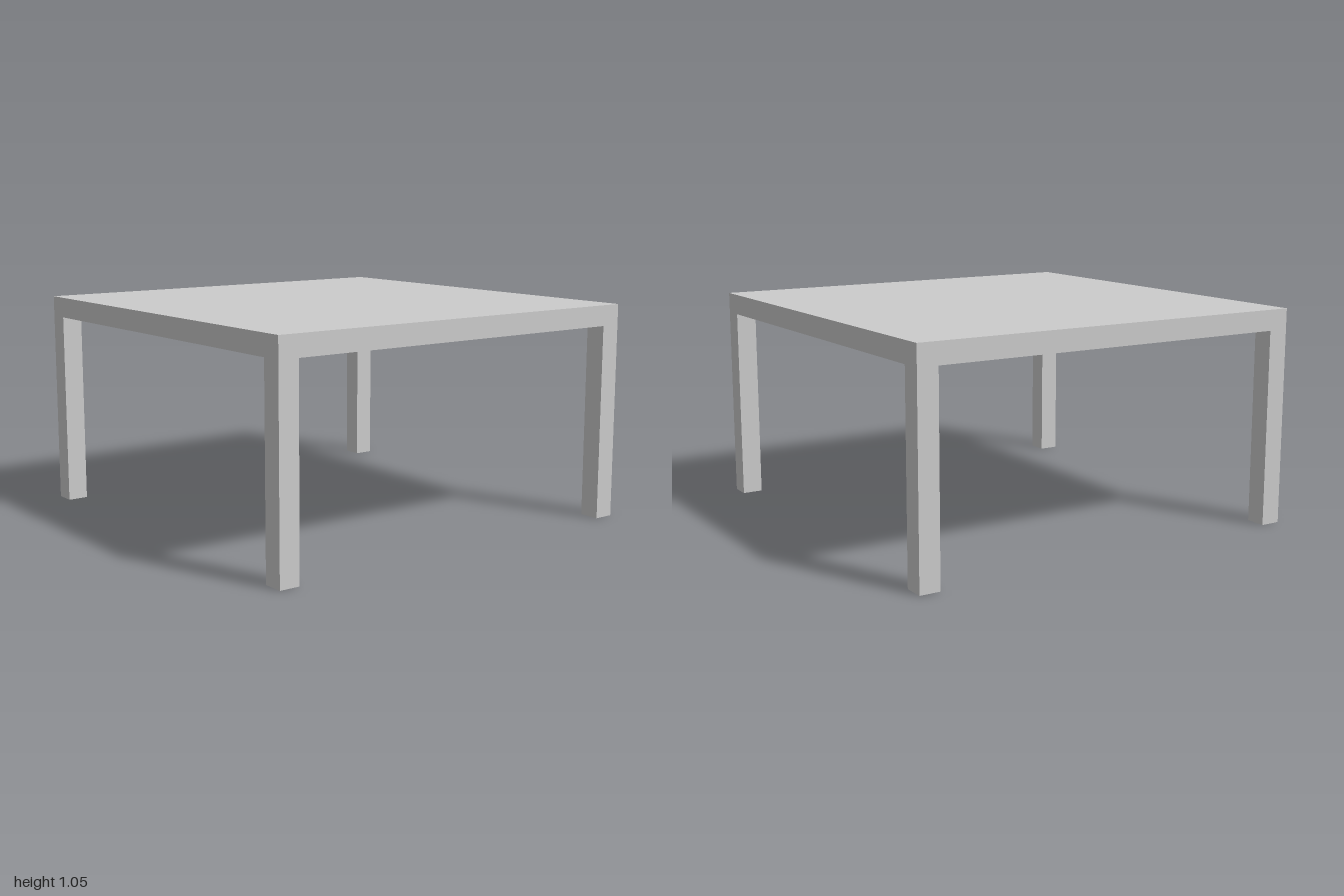
import * as THREE from 'three';

const WIDTH = 2, HEIGHT = 1.05, THICK = 0.1;

export function createModel() {
  const table = new THREE.Group();
  table.name = 'table';
  const material = new THREE.MeshStandardMaterial({ color: 0xcccccc, flatShading: true });

  // Square slab top
  const top = new THREE.Mesh(new THREE.BoxGeometry(WIDTH, THICK, WIDTH), material);
  top.name = 'tableTop';
  top.position.y = HEIGHT - THICK / 2;
  table.add(top);

  // Four square legs, flush with the corners
  const legHeight = HEIGHT - THICK;
  const legGeometry = new THREE.BoxGeometry(THICK, legHeight, THICK);
  const offset = (WIDTH - THICK) / 2;
  for (const x of [-1, 1]) {
    for (const z of [-1, 1]) {
      const leg = new THREE.Mesh(legGeometry, material);
      leg.name = (z > 0 ? 'front' : 'back') + (x > 0 ? 'Left' : 'Right') + 'Leg';
      leg.position.set(x * offset, legHeight / 2, z * offset);
      table.add(leg);
    }
  }
  return table;
}
